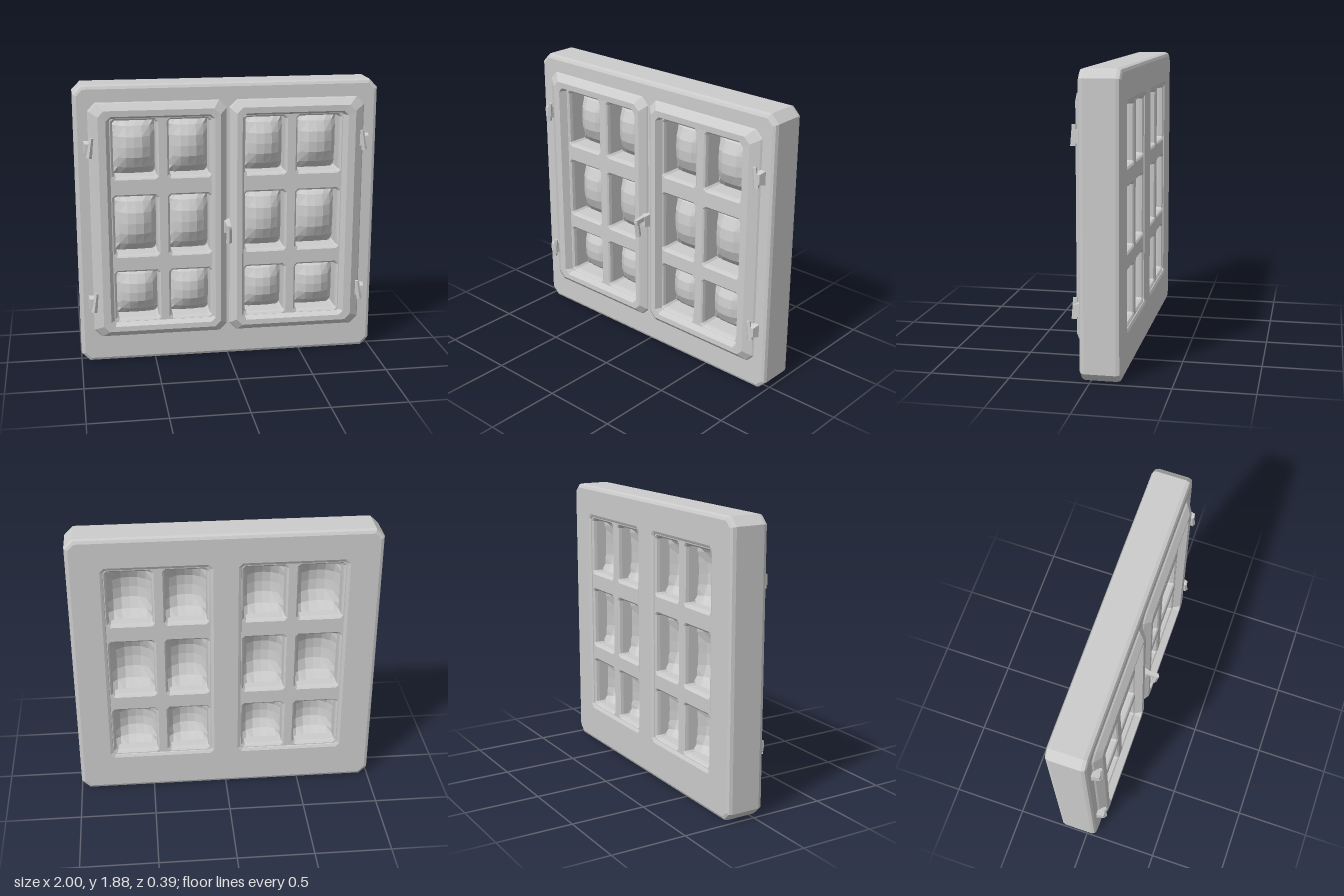
import * as THREE from 'three';

const material = new THREE.MeshStandardMaterial({ color: 0xcccccc, flatShading: true, side: THREE.DoubleSide });
const HEIGHT = 1.88;

// Pane layout of one leaf (mirrored for the other)
const COLUMNS = [[0.12, 0.385], [0.47, 0.75]];
const ROWS = [[0.29, 0.62], [0.74, 1.14], [1.27, 1.645]];

function mesh(name, geometry) {
  const m = new THREE.Mesh(geometry, material);
  m.name = name;
  return m;
}

// Rectangle with cut corners, counter-clockwise
function cutRect([x0, x1, y0, y1], c) {
  return [[x0 + c, y0], [x1 - c, y0], [x1, y0 + c], [x1, y1 - c],
    [x1 - c, y1], [x0 + c, y1], [x0, y1 - c], [x0, y0 + c]].map(([x, y]) => new THREE.Vector2(x, y));
}

// Board from z0 to z1 with bevelled edges and openings
function board(rect, corner, holes, z0, z1, bevel, bevelZ) {
  const shape = new THREE.Shape(cutRect(rect, corner));
  holes.forEach(h => shape.holes.push(new THREE.Path(cutRect(h, 0.012).reverse())));
  const g = new THREE.ExtrudeGeometry(shape, {
    depth: z1 - z0 - 2 * bevelZ, bevelEnabled: true, bevelSize: bevel,
    bevelOffset: -bevel, bevelThickness: bevelZ, bevelSegments: 2,
  });
  return g.translate(0, 0, z0 + bevelZ);
}

// Moulding lofted between an outer and an inner rectangle; profile = [blend, z, corner cut]
function moulding(outer, inner, profile) {
  const pos = [], index = [], n = 8;
  profile.forEach(([t, z, c], k) => {
    cutRect(outer.map((v, i) => v + (inner[i] - v) * t), c).forEach(p => pos.push(p.x, p.y, z));
    if (k === 0) return;
    for (let i = 0; i < n; i++) {
      const a = (k - 1) * n + i, b = (k - 1) * n + (i + 1) % n;
      index.push(a, b, b + n, a, b + n, a + n);
    }
  });
  const g = new THREE.BufferGeometry();
  g.setAttribute('position', new THREE.Float32BufferAttribute(pos, 3));
  g.setIndex(index);
  g.computeVertexNormals();
  return g;
}

// Pane bulging to the front, hollow behind
function pane(x0, x1, y0, y1) {
  const w = x1 - x0 + 0.04, h = y1 - y0 + 0.04;
  const g = new THREE.PlaneGeometry(w, h, 6, 6);
  const p = g.attributes.position;
  for (let i = 0; i < p.count; i++) {
    const u = Math.abs(p.getX(i) / w * 2), v = Math.abs(p.getY(i) / h * 2);
    p.setZ(i, -0.1 + 0.11 * (1 - u ** 2.6) * (1 - v ** 2.6));
  }
  g.computeVertexNormals();
  return g.translate((x0 + x1) / 2, (y0 + y1) / 2, 0);
}

// Tapered box: the far (+z) end is scaled
function taperedBox(w, h, d, scale) {
  const g = new THREE.BoxGeometry(w, h, d);
  const p = g.attributes.position;
  for (let i = 0; i < p.count; i++) {
    if (p.getZ(i) > 0) p.setXYZ(i, p.getX(i) * scale, p.getY(i) * scale, p.getZ(i));
  }
  g.computeVertexNormals();
  return g;
}

export function createModel() {
  const model = new THREE.Group();
  model.name = 'window';

  const sides = [[-1, 'right'], [1, 'left']];
  const flip = (s, x0, x1) => (s > 0 ? [x0, x1] : [-x1, -x0]);

  // Outer frame with one opening per leaf
  const openings = sides.map(([s]) => [...flip(s, 0.105, 0.765), 0.275, 1.66]);
  model.add(mesh('frame', board([-1, 1, 0, HEIGHT], 0.055, openings, -0.19, 0.065, 0.025, 0.03)));

  for (const [s, side] of sides) {
    const leaf = new THREE.Group();
    leaf.name = side + 'Leaf';
    model.add(leaf);

    // Raised moulding around the leaf
    const outer = [...flip(s, 0.0, 0.92), 0.17, 1.78];
    const inner = [...flip(s, 0.12, 0.755), 0.285, 1.65];
    leaf.add(mesh('moulding', moulding(outer, inner, [
      [0, 0.05, 0.05], [0.12, 0.075, 0.05], [0.45, 0.11, 0.04], [0.75, 0.108, 0.03], [0.9, 0.06, 0.01], [1, 0.03, 0.01],
    ])));

    // Glazing bars and panes
    const cells = [];
    for (const [a, b] of COLUMNS) for (const [y0, y1] of ROWS) cells.push([...flip(s, a, b), y0, y1]);
    const grid = [...flip(s, 0.07, 0.8), 0.24, 1.7];
    leaf.add(mesh('glazingBars', board(grid, 0.01, cells, -0.175, 0.06, 0.015, 0.03)));
    cells.forEach(c => leaf.add(mesh('pane', pane(...c))));

    // Hinges on the outer stile
    for (const y of [0.43, 1.48]) {
      const hinge = new THREE.Group();
      hinge.name = 'hinge';
      const plate = mesh('hingePlate', taperedBox(0.07, 0.1, 0.07, 0.65));
      plate.position.z = 0.08;
      const pin = mesh('hingePin', new THREE.CylinderGeometry(0.014, 0.02, 0.13, 5));
      pin.position.set(-s * 0.012, 0.005, 0.108);
      pin.rotation.z = s * 0.15;
      hinge.add(plate, pin);
      hinge.position.set(s * 0.91, y, 0);
      leaf.add(hinge);
    }
  }

  // Latch handle: short arm and hanging grip
  const handle = new THREE.Group();
  handle.name = 'handle';
  const base = mesh('handleBase', taperedBox(0.05, 0.1, 0.06, 0.7));
  base.position.set(0, 0.92, 0.085);
  const arm = mesh('handleArm', new THREE.BoxGeometry(0.028, 0.03, 0.09));
  arm.position.set(0, 0.94, 0.145);
  arm.rotation.x = 0.1;
  const grip = mesh('handleGrip', new THREE.CylinderGeometry(0.018, 0.02, 0.11, 5));
  grip.position.set(0, 0.885, 0.172);
  grip.rotation.x = 0.15;
  handle.add(base, arm, grip);
  handle.position.x = -0.01;
  model.add(handle);

  return model;
}
